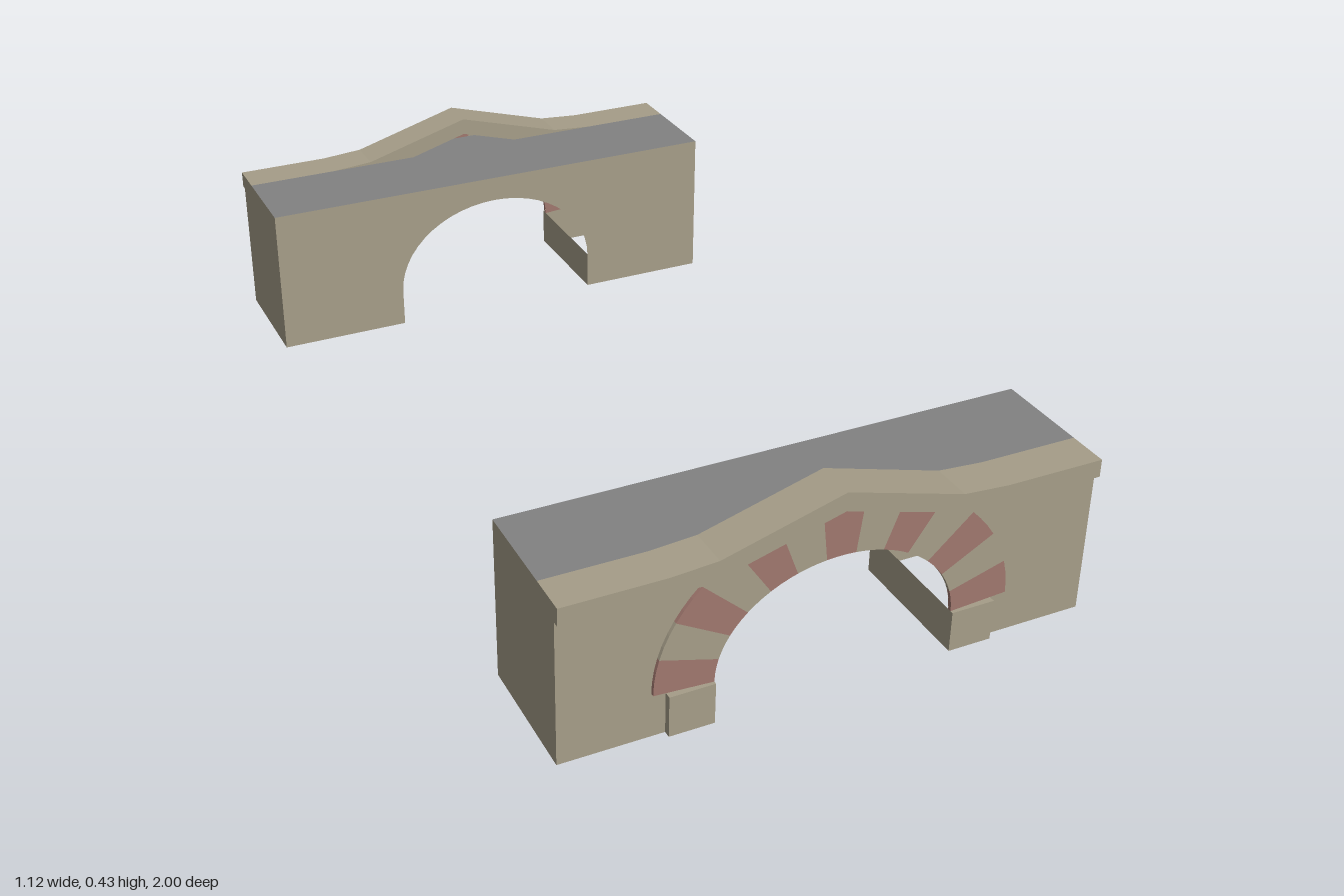
import * as THREE from 'three';

const W = 0.562, TOP = 0.353, BAND = 0.315;      // half length, deck height, coping underside
const INNER = 0.705, FACE = 0.985, OUTER = 1.0;  // z of inner wall, outer wall, coping face
const RX = 0.253, RY = 0.203, SPRING = 0.09;     // arch opening

export function createModel() {
  const mat = (name, color) => {
    const m = new THREE.MeshStandardMaterial({ color, side: THREE.DoubleSide });
    m.name = name;
    return m;
  };
  const stone = mat('stone', 0xa59d88);
  const brick = mat('red stone', 0xa0776e);
  const asphalt = mat('asphalt', 0x828282);

  const shapeOf = (pts) => new THREE.Shape(pts.map(([x, y]) => new THREE.Vector2(x, y)));

  function buildSide() {
    const side = new THREE.Group();
    const add = (name, geo, material, x = 0, y = 0, z = 0) => {
      const m = new THREE.Mesh(geo, material);
      m.name = name;
      m.position.set(x, y, z);
      side.add(m);
      return m;
    };
    const slab = (name, pts, z, depth, material) =>
      add(name, new THREE.ExtrudeGeometry(shapeOf(pts), { depth, bevelEnabled: false }), material, 0, 0, z);

    // Points along the arch opening, from right foot to left foot
    const arch = [[RX, 0]];
    for (let i = 0; i <= 26; i++) {
      const t = (i / 26) * Math.PI;
      arch.push([RX * Math.cos(t), SPRING + RY * Math.sin(t)]);
    }
    arch.push([-RX, 0]);

    // Hollow shell: two arched walls, end walls and low pier walls
    const wall = (topPts) => new THREE.ShapeGeometry(shapeOf([[W, 0], ...topPts, [-W, 0], ...[...arch].reverse()]));
    add('innerWall', wall([[W, TOP], [-W, TOP]]), stone, 0, 0, INNER).rotation.y = Math.PI;
    add('outerWall', wall([[W, BAND + 0.01], [0.27, BAND + 0.01], [0, 0.403], [-0.27, BAND + 0.01], [-W, BAND + 0.01]]),
      stone, 0, 0, FACE);
    const depth = FACE - INNER, midZ = (FACE + INNER) / 2;
    for (const s of [-1, 1]) {
      add('endWall', new THREE.PlaneGeometry(depth, TOP), stone, s * W, TOP / 2, midZ).rotation.y = s * Math.PI / 2;
      add('pierWall', new THREE.PlaneGeometry(depth, SPRING), stone, s * RX, SPRING / 2, midZ).rotation.y = -s * Math.PI / 2;
      // Blocks the arch ring rests on
      add('impost', new THREE.BoxGeometry(0.094, SPRING, OUTER - FACE), stone,
        s * (RX + 0.047), SPRING / 2, (OUTER + FACE) / 2);
    }

    // Road deck, with a short piece running under the raised parapet
    const deck = (w, z0, z1) => {
      add('road', new THREE.PlaneGeometry(w, z1 - z0), asphalt, 0, TOP, (z0 + z1) / 2).rotation.x = -Math.PI / 2;
    };
    deck(2 * W, INNER, 0.912);
    deck(0.28, 0.912, FACE);

    // Parapet rising to a point over the arch
    slab('parapet', [
      [-W, BAND], [-0.27, BAND], [0, 0.393], [0.27, BAND], [W, BAND],
      [W, TOP], [0.35, TOP], [0.253, 0.36], [0, 0.433], [-0.253, 0.36], [-0.35, TOP], [-W, TOP],
    ], 0.912, OUTER - 0.912, stone);

    // Arch ring of alternating stones
    const count = 13, steps = 3;
    for (let i = 0; i < count; i++) {
      const inner = [], outer = [];
      for (let j = 0; j <= steps; j++) {
        const t = ((i + j / steps) / count) * Math.PI;
        inner.unshift([RX * Math.cos(t), SPRING + RY * Math.sin(t)]);
        outer.push([0.376 * Math.cos(t), 0.098 + 0.317 * Math.sin(t)]);
      }
      slab('archStone', [...outer, ...inner], FACE - 0.001, 0.009, i % 2 ? stone : brick);
    }
    return side;
  }

  // Two matching facades facing away from each other
  const model = new THREE.Group();
  model.name = 'bridge';
  const front = buildSide();
  front.name = 'frontBridge';
  const back = buildSide();
  back.name = 'backBridge';
  back.rotation.y = Math.PI;
  model.add(front, back);
  return model;
}
